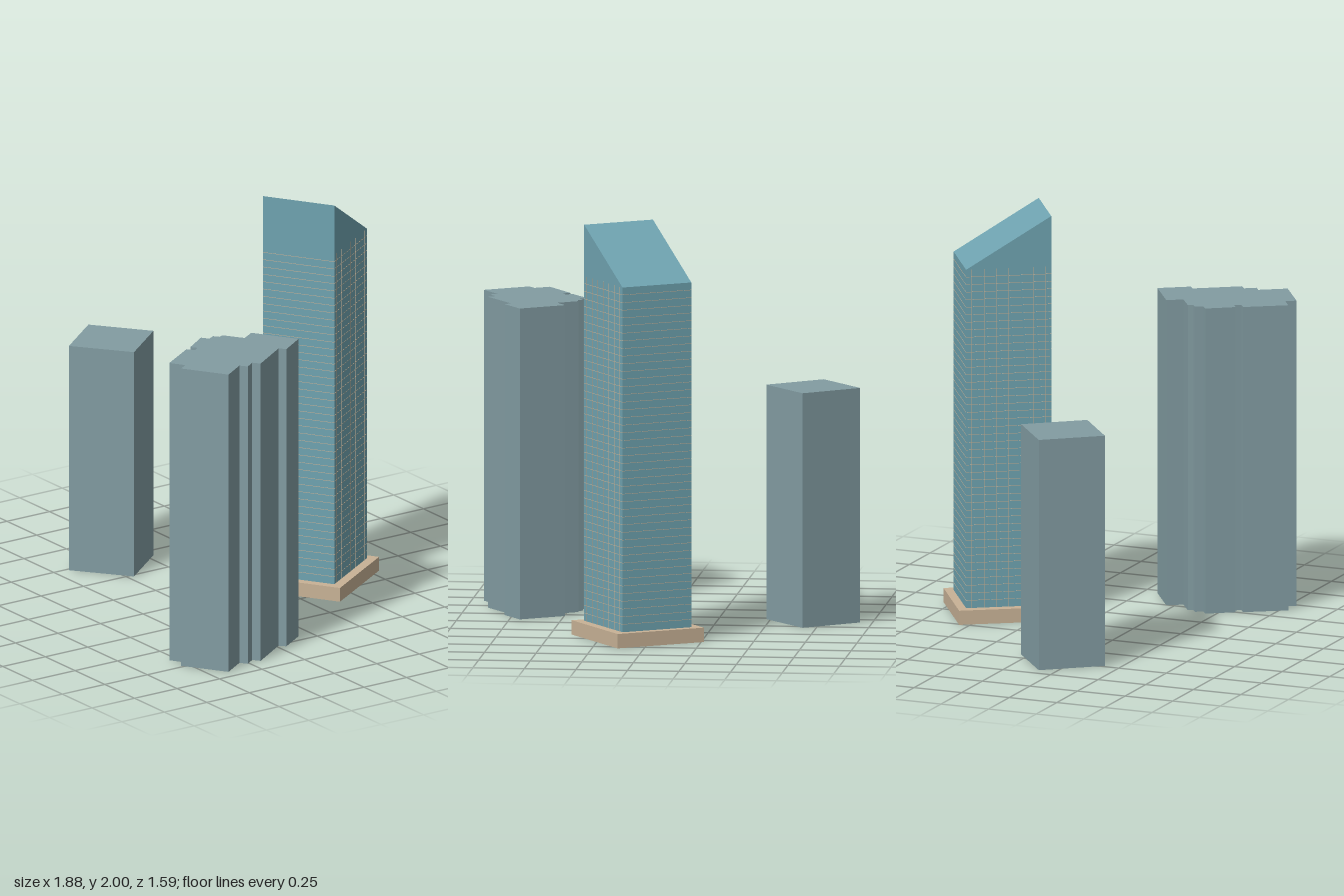
import * as THREE from 'three';

const material = (color) => new THREE.MeshStandardMaterial({ color });
const glass = material(0x6fa3b0);
const stone = material(0xc8b296);
const grey = material(0x829ca2);

function add(parent, name, geometry, mat, x = 0, y = 0, z = 0) {
  const mesh = new THREE.Mesh(geometry, mat);
  mesh.name = name;
  mesh.position.set(x, y, z);
  parent.add(mesh);
  return mesh;
}

// Box standing on its own base
const block = (w, h, d) => new THREE.BoxGeometry(w, h, d).translate(0, h / 2, 0);

function createTower() {
  const W = 0.37, D = 0.416, LOW = 1.75, HIGH = 2, BASE = 0.07;
  const tower = new THREE.Group();
  tower.name = 'glassTower';
  add(tower, 'podium', block(0.463, BASE, 0.499), stone);

  // Glass shaft whose roof falls towards the back
  const shaft = block(W, HIGH - 0.001, D).translate(0, 0.001, 0);
  const p = shaft.attributes.position;
  for (let i = 0; i < p.count; i++) {
    if (p.getY(i) > 1 && p.getZ(i) < 0) p.setY(i, LOW);
  }
  shaft.computeVertexNormals();
  add(tower, 'shaft', shaft, glass);

  // Thin floor lines around the shaft
  const floors = 45;
  const floorLine = block(W + 0.002, 0.002, D + 0.002);
  for (let i = 1; i < floors; i++) {
    add(tower, 'floorLine', floorLine, stone, 0, BASE + (LOW - BASE) * i / floors, 0);
  }

  // Slim mullions on the two long sides
  const mullion = block(W + 0.002, LOW - BASE, 0.002);
  for (let i = 0; i < 7; i++) {
    add(tower, 'mullion', mullion, stone, 0, BASE, 0.18 - i * 0.06);
  }
  tower.position.set(0.067, 0, -0.465);
  tower.rotation.y = 0.573;
  return tower;
}

// Stepped floor plan, as x and z
const plan = [
  [0.70, 0.075], [0.79, 0.21], [0.76, 0.235], [0.895, 0.435], [0.86, 0.46],
  [0.895, 0.51], [0.86, 0.535], [0.94, 0.655], [0.735, 0.79], [0.705, 0.745],
  [0.635, 0.79], [0.515, 0.605], [0.55, 0.58], [0.53, 0.55], [0.50, 0.572],
  [0.415, 0.45], [0.45, 0.425], [0.43, 0.39], [0.455, 0.37], [0.445, 0.345],
  [0.54, 0.28], [0.495, 0.21],
];

export function createModel() {
  const group = new THREE.Group();
  group.name = 'towerBlocks';
  group.add(createTower());

  // Stepped neighbour
  const shape = new THREE.Shape(plan.map(([x, z]) => new THREE.Vector2(x, -z)));
  const stepped = new THREE.ExtrudeGeometry(shape, { depth: 1.515, bevelEnabled: false });
  add(group, 'steppedBuilding', stepped.rotateX(-Math.PI / 2), grey);

  // Plain square neighbour
  const square = add(group, 'squareBuilding', block(0.327, 1.143, 0.33), grey, -0.71, 0, 0.19);
  square.rotation.y = 0.672;
  return group;
}
